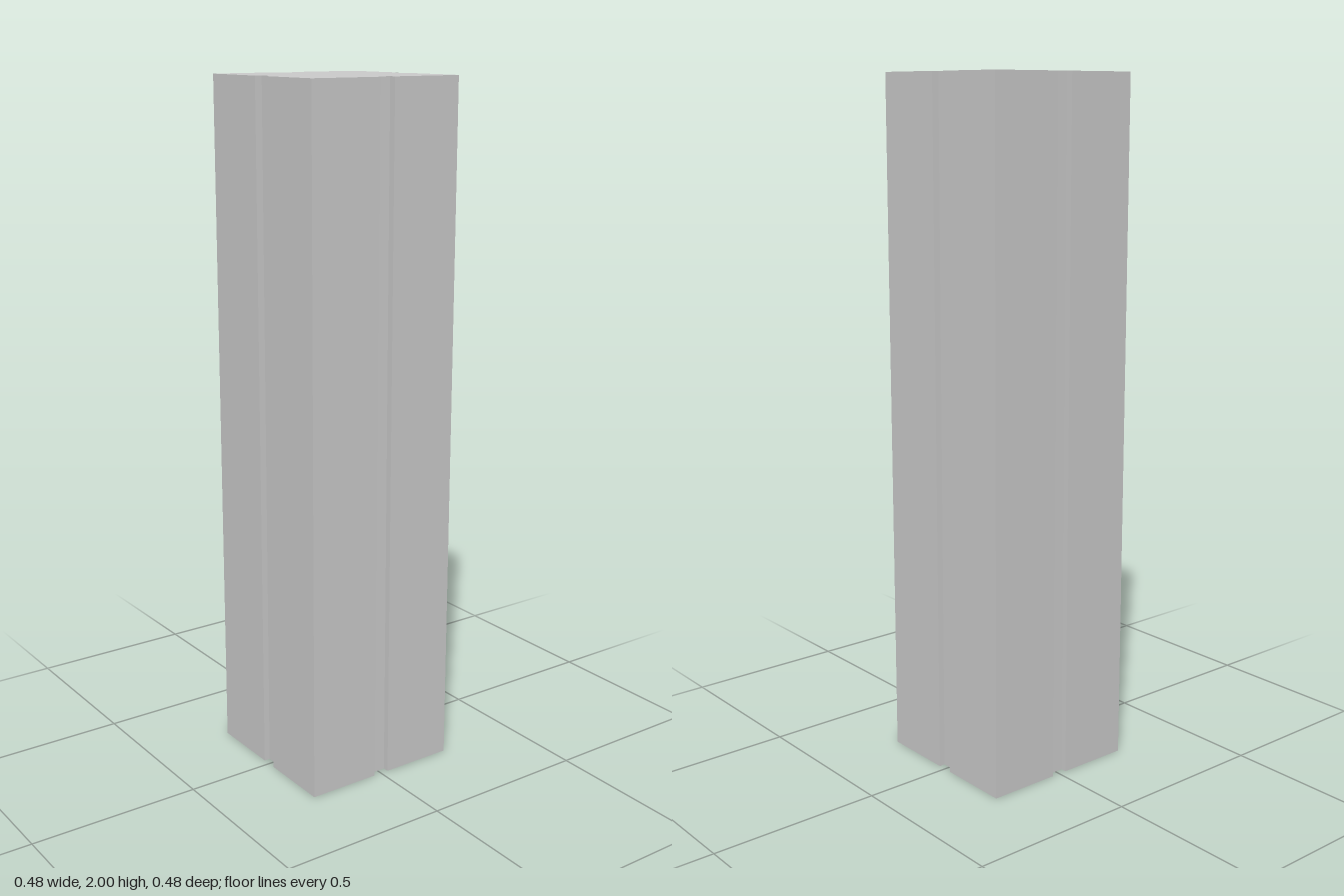
import * as THREE from 'three';

const HEIGHT = 2;
const HALF = 0.239;          // half width of the pillar
const SLOT = 0.024;          // half width of each groove
const FLOOR_TOP = 0.218;     // groove floor distance from the axis at the top
const FLOOR_BOTTOM = 0.2215; // and at the foot, where it is a little shallower

// Square outline with a groove in the middle of every side, counter-clockwise
function outline(floor) {
  const side = [[HALF, -SLOT], [floor, -SLOT], [floor, SLOT], [HALF, SLOT], [HALF, HALF]];
  const points = [];
  for (let i = 0; i < 4; i++) {
    for (const [x, y] of side) {
      points.push(new THREE.Vector2(x, y).rotateAround(new THREE.Vector2(), i * Math.PI / 2));
    }
  }
  return points;
}

// Walls joining the foot outline to the top outline
function wallGeometry(foot, top) {
  const positions = [];
  foot.forEach((a, i) => {
    const j = (i + 1) % foot.length;
    const b = foot[j], c = top[j], d = top[i];
    positions.push(a.x, a.y, 0, b.x, b.y, 0, c.x, c.y, HEIGHT);
    positions.push(a.x, a.y, 0, c.x, c.y, HEIGHT, d.x, d.y, HEIGHT);
  });
  const geometry = new THREE.BufferGeometry();
  geometry.setAttribute('position', new THREE.Float32BufferAttribute(positions, 3));
  geometry.rotateX(-Math.PI / 2);
  geometry.computeVertexNormals();
  return geometry;
}

export function createModel() {
  const group = new THREE.Group();
  group.name = 'groovedPillar';
  const material = new THREE.MeshStandardMaterial({
    color: 0xcccccc, flatShading: true, side: THREE.DoubleSide,
  });
  const top = outline(FLOOR_TOP);

  // Hollow shaft, open at the foot
  const shaft = new THREE.Mesh(wallGeometry(outline(FLOOR_BOTTOM), top), material);
  shaft.name = 'shaft';

  // Flat top
  const capGeometry = new THREE.ShapeGeometry(new THREE.Shape(top));
  capGeometry.rotateX(-Math.PI / 2).translate(0, HEIGHT, 0);
  const cap = new THREE.Mesh(capGeometry, material);
  cap.name = 'topCap';

  group.add(shaft, cap);
  return group;
}
